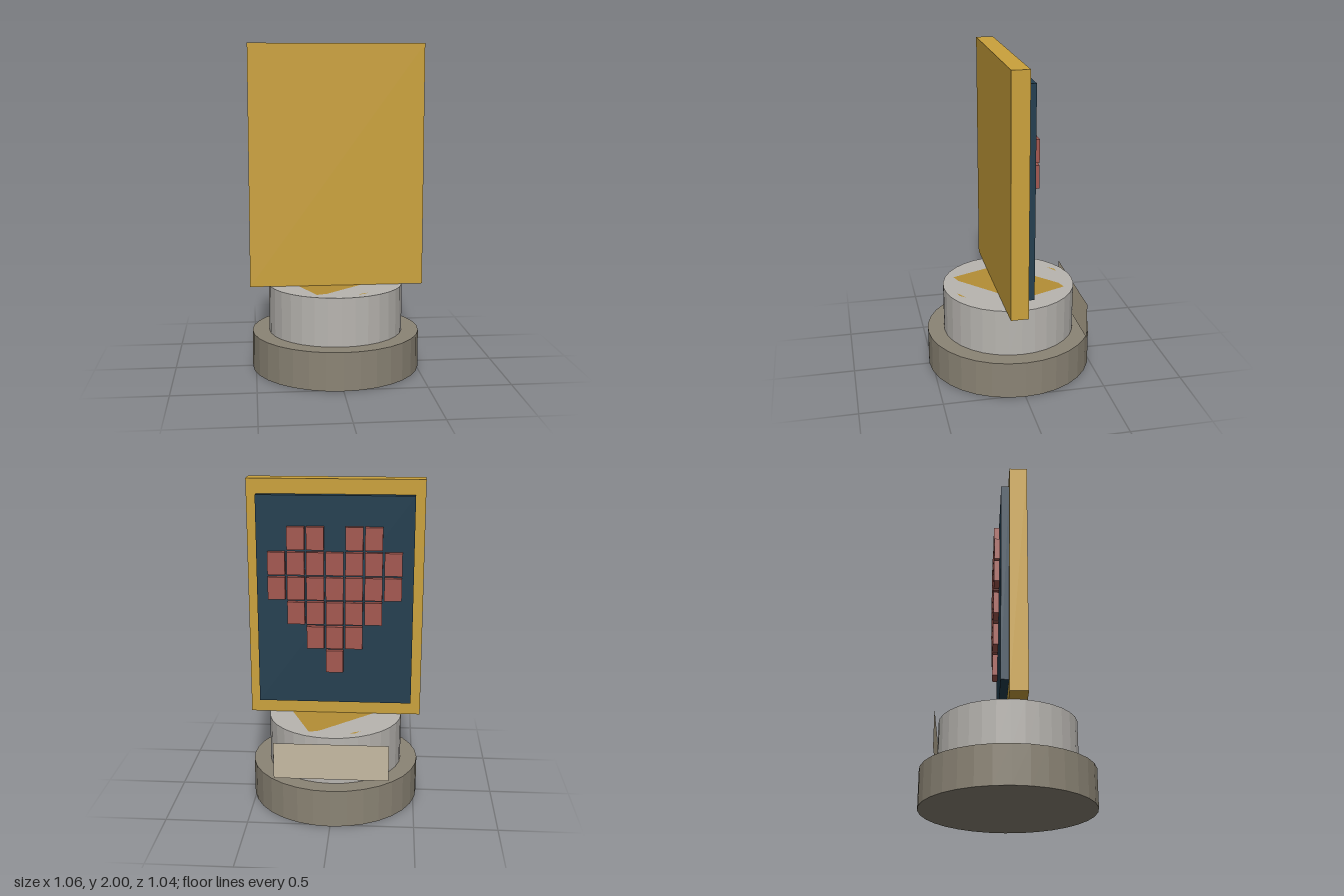
import * as THREE from 'three';

const mat = (name, color, extra = {}) => {
  const m = new THREE.MeshStandardMaterial({ color, ...extra });
  m.name = name;
  return m;
};

export function createModel() {
  const group = new THREE.Group();
  const gold = mat('gold', 0xcba23c);
  const darkGold = mat('dark gold', 0xb48e35);
  const navy = mat('navy', 0x243f50);
  const red = mat('brick red', 0xa45850);
  const silver = mat('silver', 0xb8b5b0, { flatShading: true });
  const stone = mat('stone', 0x8b8475, { flatShading: true });
  const beige = mat('beige', 0xc6baa2, { side: THREE.DoubleSide });

  const add = (name, geometry, material, parent = group) => {
    const mesh = new THREE.Mesh(geometry, material);
    mesh.name = name;
    parent.add(mesh);
    return mesh;
  };
  // Box given by its limits on each axis
  const box = (name, [x0, x1], [y0, y1], [z0, z1], material, parent) =>
    add(name, new THREE.BoxGeometry(x1 - x0, y1 - y0, z1 - z0), material, parent)
      .position.set((x0 + x1) / 2, (y0 + y1) / 2, (z0 + z1) / 2);
  const drum = (name, r, y0, y1, material) => {
    add(name, new THREE.CylinderGeometry(r, r, y1 - y0, 32), material).position.y = (y0 + y1) / 2;
  };

  // Two-step round pedestal
  drum('base', 0.52, 0, 0.232, stone);
  drum('pedestal', 0.415, 0.232, 0.527, silver);

  // Name plate standing just behind the pedestal
  const plate = add('namePlate', new THREE.PlaneGeometry(0.69, 0.227), beige);
  plate.position.set(0, 0.377, -0.425);
  plate.rotation.y = Math.PI;

  // Gold inlay on the pedestal top: half outlines in (x, z), repeated by a half turn
  const halfInlay = [[0.08, -0.31], [0.14, -0.33], [0.27, -0.015]];
  const sliver = [[-0.17, -0.302], [-0.14, -0.336], [-0.105, -0.342], [-0.13, -0.323]];
  const turn = (pts) => pts.map(([x, z]) => [-x, -z]);
  [[...halfInlay, ...turn(halfInlay)], sliver, turn(sliver)].forEach((pts) => {
    const shape = new THREE.Shape(pts.map(([x, z]) => new THREE.Vector2(x, -z)));
    const inlay = add('pedestalInlay', new THREE.ShapeGeometry(shape), darkGold);
    inlay.rotation.x = -Math.PI / 2;
    inlay.position.y = 0.529;
  });

  // Upright board with a raised dark panel on its back
  box('board', [-0.532, 0.532], [0.529, 2], [-0.012, 0.095], gold);
  box('panel', [-0.472, 0.472], [0.62, 1.91], [-0.06, -0.012], navy);

  // Heart of square tiles, from the top row down
  const heart = new THREE.Group();
  heart.name = 'heart';
  group.add(heart);
  ['.##.##.', '#######', '#######', '.#####.', '..###..', '...#...'].forEach((row, r) => {
    [...row].forEach((cell, c) => {
      if (cell !== '#') return;
      const x = (c - 3) * 0.1165;
      const y = 1.66 - r * 0.1525;
      box('heartTile', [x - 0.0525, x + 0.0525], [y - 0.069, y + 0.069], [-0.098, -0.065], red, heart);
    });
  });

  return group;
}
